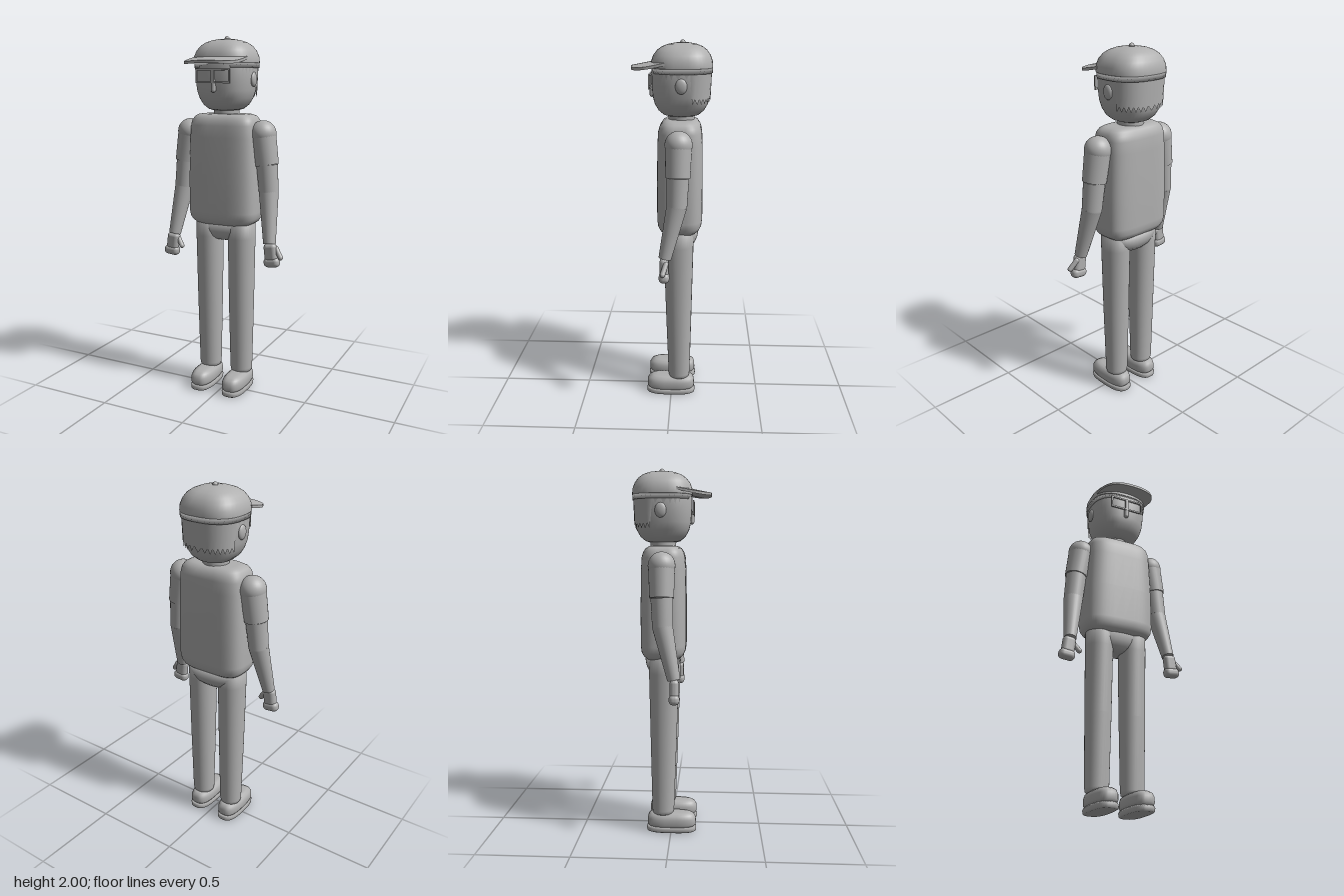
import * as THREE from 'three';
import { RoundedBoxGeometry } from 'three/addons/geometries/RoundedBoxGeometry.js';

const grey = new THREE.MeshStandardMaterial({ color: 0xb0b0b0 });
grey.name = 'plain grey';
const greyShell = new THREE.MeshStandardMaterial({ color: 0xb0b0b0, side: THREE.DoubleSide });
greyShell.name = 'plain grey shell';

const V = (x, y, z) => new THREE.Vector3(x, y, z);

function add(parent, name, geometry, material = grey) {
  const mesh = new THREE.Mesh(geometry, material);
  mesh.name = name;
  parent.add(mesh);
  return mesh;
}

// Point on a rounded-square outline (power 2 is an ellipse, higher is squarer)
function outline(a, rx, rz, power) {
  const f = (v) => Math.sign(v) * Math.pow(Math.abs(v), 2 / power);
  return [rx * f(Math.cos(a)), rz * f(Math.sin(a))];
}

// Stacked sections [y, rx, rz, centre z], bottom to top, closed at both ends
function loft(rings, power = 2, n = 40) {
  const first = rings[0], last = rings[rings.length - 1];
  const all = [[first[0], 0, 0, first[3]], ...rings, [last[0], 0, 0, last[3]]];
  const pos = [], idx = [];
  all.forEach(([y, rx, rz, cz], i) => {
    for (let j = 0; j < n; j++) {
      const [x, z] = outline((j / n) * Math.PI * 2, rx, rz, power);
      pos.push(x, y, z + cz);
      if (i === all.length - 1) continue;
      const a = i * n + j, b = i * n + (j + 1) % n;
      idx.push(a, a + n, b, a + n, b + n, b);
    }
  });
  return surface(pos, idx);
}

function surface(pos, idx) {
  const g = new THREE.BufferGeometry();
  g.setAttribute('position', new THREE.Float32BufferAttribute(pos, 3));
  g.setIndex(idx);
  g.computeVertexNormals();
  return g;
}

// Tapered round limb between two points
function limb(parent, name, a, b, ra, rb) {
  const d = b.clone().sub(a);
  const mesh = add(parent, name, new THREE.CylinderGeometry(rb, ra, d.length(), 28));
  mesh.position.copy(a).addScaledVector(d, 0.5);
  mesh.quaternion.setFromUnitVectors(V(0, 1, 0), d.normalize());
  return mesh;
}

function ball(parent, name, p, r, sx = 1, sy = 1, sz = 1) {
  const mesh = add(parent, name, new THREE.SphereGeometry(r, 28, 18));
  mesh.position.copy(p);
  mesh.scale.set(sx, sy, sz);
  return mesh;
}

// Hair shell around the back and sides with a jagged lower edge
function hairGeometry() {
  const pos = [], idx = [], n = 48, rows = 3;
  for (let j = 0; j <= n; j++) {
    const t = (j / n) * 2 - 1;
    const a = -Math.PI / 2 + t * 2.15;
    const low = (Math.abs(t) < 0.6 ? 1.69 : 1.79) + (j % 2 ? 0.014 : -0.014);
    for (let i = 0; i <= rows; i++) {
      const r = 0.159 + 0.008 * (i / rows);
      const [x, z] = outline(a, r, r - 0.005, 2.5);
      pos.push(x, low + (1.875 - low) * (i / rows), z - 0.05);
      if (j === n || i === rows) continue;
      const p = j * (rows + 1) + i, q = p + rows + 1;
      idx.push(p, p + 1, q, p + 1, q + 1, q);
    }
  }
  return surface(pos, idx);
}

// Thin visor, rounded at the front, sloping forward and drooping at the sides
function visorGeometry() {
  const g = new THREE.BoxGeometry(2, 0.014, 1, 32, 1, 8);
  const p = g.attributes.position;
  for (let i = 0; i < p.count; i++) {
    const u = Math.sin(p.getX(i) * Math.PI / 2);
    const tip = 0.065 + 0.149 * Math.pow(Math.max(0, 1 - Math.pow(Math.abs(u), 3)), 1 / 3);
    const z = 0.03 + (p.getZ(i) + 0.5) * (tip - 0.03);
    p.setXYZ(i, 0.161 * u, 1.886 + p.getY(i) - 0.2 * (z - 0.08) - 0.016 * u * u, z);
  }
  g.computeVertexNormals();
  return g;
}

function rect(path, x0, y0, x1, y1) {
  path.moveTo(x0, y0).lineTo(x1, y0).lineTo(x1, y1).lineTo(x0, y1).closePath();
  return path;
}

function buildHead(parent) {
  const head = new THREE.Group();
  head.name = 'head';
  parent.add(head);
  const c = -0.05;
  add(head, 'skull', loft([
    [1.606, 0.07, 0.075, c], [1.612, 0.09, 0.095, c], [1.635, 0.118, 0.122, c],
    [1.67, 0.139, 0.142, c], [1.71, 0.152, 0.152, c], [1.77, 0.16, 0.157, c],
    [1.84, 0.163, 0.158, c], [1.9, 0.15, 0.148, c],
  ], 2.5));
  add(head, 'hair', hairGeometry(), greyShell);
  // Cap crown, raised front panel, button and visor
  add(head, 'capCrown', loft([
    [1.855, 0.168, 0.161, -0.052], [1.858, 0.171, 0.164, -0.052], [1.89, 0.168, 0.161, -0.052],
    [1.92, 0.155, 0.15, -0.052], [1.945, 0.135, 0.131, -0.053], [1.963, 0.108, 0.106, -0.054],
    [1.975, 0.075, 0.074, -0.055], [1.982, 0.035, 0.035, -0.056],
  ], 2.6));
  add(head, 'capBack', loft([
    [1.83, 0.168, 0.16, -0.055], [1.86, 0.169, 0.161, -0.054],
  ], 2.6)).scale.set(1, 1, 0.999);
  ball(head, 'capButton', V(0, 1.983, -0.056), 0.014);
  add(head, 'capVisor', visorGeometry());
  for (const s of [1, -1]) {
    ball(head, 'ear', V(s * 0.16, 1.77, -0.053), 0.036, 0.4, 1.08, 0.85);
  }
  // Nose and square glasses
  const nose = add(head, 'nose', new THREE.CapsuleGeometry(0.013, 0.045, 6, 14));
  nose.position.set(0, 1.737, 0.107);
  const frame = rect(new THREE.Shape(), -0.1, 1.75, 0.1, 1.825);
  for (const s of [1, -1]) {
    frame.holes.push(rect(new THREE.Path(), s * 0.05 - 0.041, 1.759, s * 0.05 + 0.041, 1.816));
  }
  const glasses = add(head, 'glasses',
    new THREE.ExtrudeGeometry(frame, { depth: 0.008, bevelEnabled: false }));
  glasses.position.z = 0.112;
}

function buildArm(parent, s) {
  const arm = new THREE.Group();
  arm.name = s > 0 ? 'leftArm' : 'rightArm';
  parent.add(arm);
  const shoulder = V(s * 0.223, 1.483, -0.043), cuff = V(s * 0.249, 1.317, -0.041);
  const elbow = V(s * 0.263, 1.17, -0.036), wrist = V(s * 0.297, 0.895, 0.025);
  ball(arm, 'shoulder', shoulder, 0.072);
  limb(arm, 'sleeve', shoulder, cuff, 0.07, 0.064);
  limb(arm, 'upperArm', cuff, elbow, 0.058, 0.054);
  ball(arm, 'elbow', elbow, 0.054);
  limb(arm, 'forearm', elbow, wrist, 0.054, 0.034);
  // Hand: palm, curled fingers and a thumb on the same side for both hands
  const palm = add(arm, 'palm', new RoundedBoxGeometry(0.072, 0.1, 0.048, 4, 0.022));
  palm.position.set(s * 0.306, 0.85, 0.028);
  palm.rotation.z = s * 0.12;
  const fingers = add(arm, 'fingers', new RoundedBoxGeometry(0.09, 0.055, 0.056, 4, 0.024));
  fingers.position.set(s * 0.314, 0.796, 0.028);
  fingers.rotation.z = s * 0.1;
  const x = s > 0 ? 0.332 : -0.28;
  limb(arm, 'thumb', V(x, 0.875, 0.018), V(x + 0.034, 0.828, 0.034), 0.014, 0.014);
  ball(arm, 'thumbTip', V(x + 0.034, 0.828, 0.034), 0.014);
  ball(arm, 'thumbBase', V(x, 0.875, 0.018), 0.014);
}

function buildLeg(parent, s) {
  const leg = new THREE.Group();
  leg.name = s > 0 ? 'leftLeg' : 'rightLeg';
  leg.position.x = s * 0.1;
  parent.add(leg);
  add(leg, 'trouserLeg', loft([
    [0.1, 0.05, 0.05, -0.045], [0.106, 0.059, 0.057, -0.045], [0.125, 0.063, 0.061, -0.045],
    [0.515, 0.071, 0.072, -0.042], [0.9, 0.076, 0.082, -0.04], [1, 0.076, 0.084, -0.04],
  ], 2.1, 32));
  // Shoe upper over a wider sole
  add(leg, 'shoe', loft([
    [0.03, 0.056, 0.126, 0.003], [0.045, 0.063, 0.136, 0.003], [0.075, 0.063, 0.135, 0.003],
    [0.095, 0.056, 0.126, 0], [0.106, 0.042, 0.108, -0.003], [0.109, 0.025, 0.085, -0.005],
  ], 2.8));
  add(leg, 'sole', loft([
    [0, 0.056, 0.13, 0.002], [0.005, 0.063, 0.138, 0.002], [0.022, 0.065, 0.139, 0.002],
    [0.032, 0.06, 0.133, 0.002],
  ], 2.8));
}

export function createModel() {
  const model = new THREE.Group();
  model.name = 'figure';
  const body = new THREE.Group();
  body.name = 'body';
  body.position.x = -0.013;
  model.add(body);

  // Rounded, slightly tapered torso
  const c = -0.045;
  add(body, 'torso', loft([
    [0.972, 0.14, 0.075, c], [0.977, 0.162, 0.092, c], [0.992, 0.183, 0.109, c],
    [1.015, 0.197, 0.12, c], [1.05, 0.203, 0.124, c], [1.25, 0.202, 0.124, c],
    [1.46, 0.194, 0.121, c], [1.525, 0.19, 0.117, c], [1.553, 0.184, 0.109, c],
    [1.573, 0.17, 0.096, c], [1.584, 0.148, 0.078, c], [1.587, 0.12, 0.058, c],
  ], 3.6, 56));
  add(body, 'pelvis', loft([
    [0.88, 0.06, 0.04, -0.052], [0.886, 0.09, 0.06, -0.052], [0.905, 0.125, 0.08, -0.052],
    [0.935, 0.152, 0.092, -0.052], [0.99, 0.174, 0.1, -0.052],
  ], 2.3));
  add(body, 'neck', new THREE.CylinderGeometry(0.07, 0.07, 0.07, 32)).position.set(0, 1.6, -0.05);

  buildHead(body);
  for (const s of [1, -1]) {
    buildArm(body, s);
    buildLeg(body, s);
  }
  return model;
}
